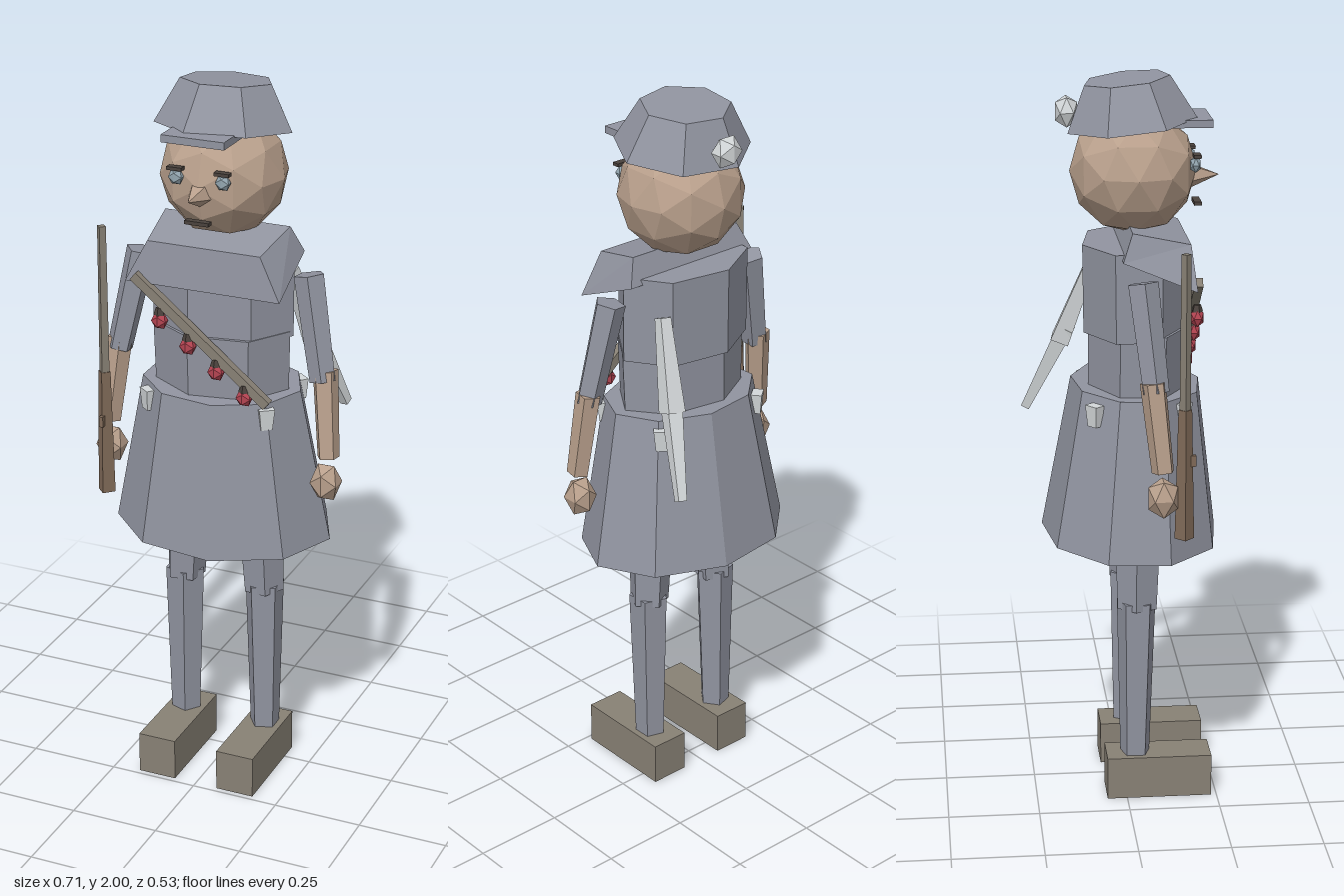
import * as THREE from 'three';

const V = (x, y, z) => new THREE.Vector3(x, y, z);
const material = (name, color) => Object.assign(new THREE.MeshStandardMaterial({ color }), { name });

export function createModel() {
  const model = new THREE.Group();
  model.name = 'uniformedFigure';

  const cloth = material('greyCloth', 0x9194a0);
  const skin = material('skin', 0xb9a08c);
  const leather = material('leather', 0x888175);
  const metal = material('paleMetal', 0xd3d7d9);
  const red = material('red', 0xb54452);
  const eyeBlue = material('eyeGrey', 0x93a6b0);
  const dark = material('darkBrown', 0x4a423d);
  const wood = material('wood', 0x806a58);

  // Faceted mesh helper
  const add = (name, geo, mat, pos = V(0, 0, 0), scale = V(1, 1, 1)) => {
    const flat = geo.index ? geo.toNonIndexed() : geo;
    flat.computeVertexNormals();
    const mesh = new THREE.Mesh(flat, mat);
    mesh.name = name;
    mesh.position.copy(pos);
    mesh.scale.copy(scale);
    model.add(mesh);
    return mesh;
  };
  const box = (name, mat, w, h, d, x, y, z) => add(name, new THREE.BoxGeometry(w, h, d), mat, V(x, y, z));
  const ball = (name, mat, pos, scale, detail = 0) => add(name, new THREE.IcosahedronGeometry(1, detail), mat, pos, scale);
  // Tapered prism between two points
  const limb = (name, mat, a, b, ra, rb, sides = 5, start = 0) => {
    const axis = b.clone().sub(a);
    const geo = new THREE.CylinderGeometry(rb, ra, axis.length(), sides, 1, false, start);
    const mesh = add(name, geo, mat, a.clone().add(b).multiplyScalar(0.5));
    mesh.quaternion.setFromUnitVectors(V(0, 1, 0), axis.normalize());
    return mesh;
  };
  // Oval tapered shell with one corner towards +x
  const oval = (name, rTop, rBottom, h, sides, y, z, squash, tilt) => {
    const geo = new THREE.CylinderGeometry(rTop, rBottom, h, sides, 1, false, Math.PI / 2);
    const mesh = add(name, geo, cloth, V(0, y, z), V(1, 1, squash));
    mesh.rotation.x = tilt;
    return mesh;
  };

  // Coat
  oval('skirt', 0.225, 0.31, 0.43, 9, 0.949, 0.03, 0.79, 0.035);
  oval('lowerTorso', 0.195, 0.19, 0.22, 7, 1.22, 0.04, 0.72, 0.02);
  oval('upperTorso', 0.2, 0.2, 0.24, 7, 1.435, 0.03, 0.71, -0.01);

  // Sloping shoulder yoke: corners of a box moved into place
  const yoke = new THREE.BoxGeometry(2, 2, 2);
  const p = yoke.attributes.position;
  for (let i = 0; i < p.count; i++) {
    const top = p.getY(i) > 0, front = p.getZ(i) > 0, side = p.getX(i);
    if (top) p.setXYZ(i, side * (front ? 0.16 : 0.18), front ? 1.575 : 1.612, front ? 0.168 : 0.012);
    else p.setXYZ(i, side * (front ? 0.22 : 0.21), front ? 1.46 : 1.54, front ? 0.18 : -0.015);
  }
  add('shoulderYoke', yoke, cloth);

  // Head and face
  ball('head', skin, V(0, 1.745, 0.03), V(0.17, 0.17, 0.17), 1);
  const nose = add('nose', new THREE.ConeGeometry(0.034, 0.075, 5), skin, V(0, 1.728, 0.222));
  nose.rotation.x = Math.PI / 2;
  box('mouth', dark, 0.068, 0.01, 0.02, 0, 1.656, 0.2);

  // Cap
  oval('cap', 0.124, 0.188, 0.118, 7, 1.928, 0.018, 0.94, -0.11);
  box('visor', cloth, 0.176, 0.02, 0.18, 0, 1.879, 0.142);
  ball('pompom', metal, V(0, 1.903, -0.147), V(0.044, 0.046, 0.034));

  for (const s of [-1, 1]) {
    // Eyes and brows
    ball('eye', eyeBlue, V(s * 0.066, 1.768, 0.188), V(0.022, 0.023, 0.016));
    box('brow', dark, 0.042, 0.009, 0.02, s * 0.066, 1.792, 0.192);

    // Arms
    limb('upperArm', cloth, V(s * 0.243, 1.495, 0.032), V(s * 0.298, 1.215, 0.062), 0.042, 0.036);
    limb('forearm', skin, V(s * 0.3, 1.243, 0.055), V(s * 0.323, 1.005, 0.08), 0.036, 0.031);
    ball('hand', skin, V(s * 0.318, 0.932, 0.08), V(0.044, 0.058, 0.046));

    // Legs and boots
    limb('upperLeg', cloth, V(s * 0.107, 0.85, 0.035), V(s * 0.12, 0.55, 0.032), 0.068, 0.056);
    limb('lowerLeg', cloth, V(s * 0.12, 0.57, 0.03), V(s * 0.122, 0.1, 0.026), 0.056, 0.042);
    box('boot', leather, 0.11, 0.12, 0.29, s * 0.119, 0.06, 0.09);

    // Small skirt buckles, front and back
    for (const [z, turn] of [[0.15, 0.65], [-0.088, 2.45]]) {
      const buckle = add('buckle', new THREE.CylinderGeometry(0.03, 0.022, 0.058, 4, 1, false, Math.PI / 4),
        metal, V(s * 0.172, 1.118, z), V(1, 1, 0.7));
      buckle.rotation.y = s * turn;
    }
  }

  // Bandolier with hanging round charges
  const strap = box('bandolier', leather, 0.49, 0.026, 0.024, 0, 1.327, 0.184);
  strap.rotation.z = -Math.atan2(0.31, 0.385);
  for (let i = 0; i < 4; i++) {
    const x = -0.116 + i * 0.081, y = 1.366 - i * 0.06;
    ball('charge', red, V(x, y, 0.19), V(0.024, 0.026, 0.02));
    limb('chargeCap', dark, V(x, y + 0.017, 0.19), V(x, y + 0.036, 0.19), 0.016, 0.01);
  }

  // Rifle held at the right side
  limb('rifleStock', wood, V(-0.308, 0.815, 0.138), V(-0.308, 1.17, 0.138), 0.026, 0.018, 4);
  limb('rifleBarrel', leather, V(-0.308, 1.15, 0.138), V(-0.308, 1.585, 0.138), 0.015, 0.013, 4);
  box('trigger', wood, 0.012, 0.03, 0.035, -0.308, 1.03, 0.15);

  // Blade slung at the back
  limb('sheath', metal, V(0.15, 1.46, -0.07), V(0.192, 1.23, -0.155), 0.022, 0.036, 4);
  limb('blade', metal, V(0.183, 1.27, -0.138), V(0.245, 1.025, -0.25), 0.032, 0.017, 4);

  return model;
}
